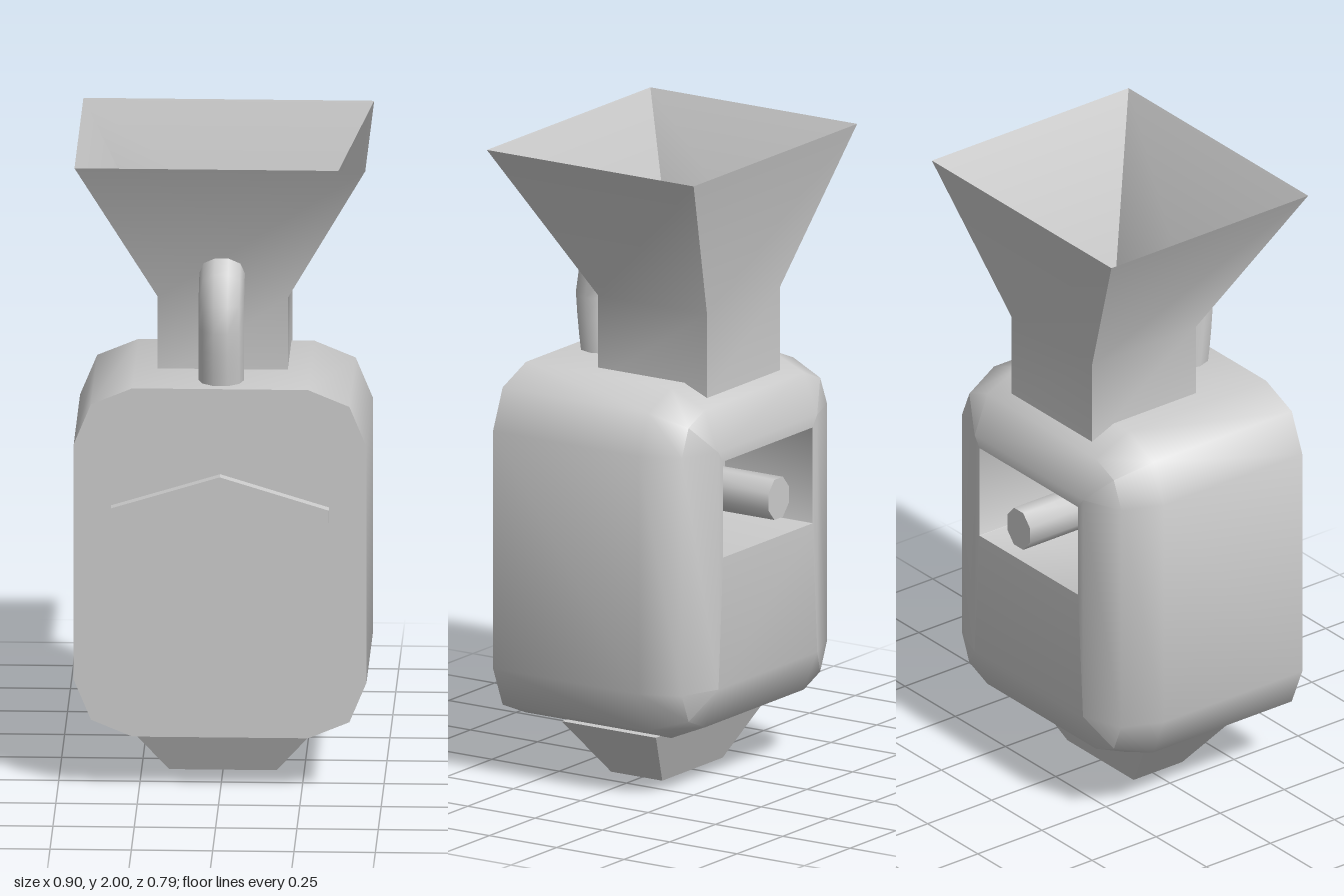
import * as THREE from 'three';
import { toCreasedNormals } from 'three/addons/utils/BufferGeometryUtils.js';

const grey = new THREE.MeshStandardMaterial({ color: 0xcccccc, side: THREE.DoubleSide });

// Skin a list of equal-length loops of [x, y, z]; optionally fan-cap both ends.
function loft(loops, capped, crease = 0.9) {
  const n = loops[0].length, pos = loops.flat(2), idx = [];
  for (let k = 0; k < loops.length - 1; k++) {
    for (let i = 0; i < n; i++) {
      const j = (i + 1) % n, a = k * n + i, b = k * n + j;
      idx.push(a, a + n, b, b, a + n, b + n);
    }
  }
  const cap = (k, flip) => {
    const c = pos.length / 3;
    pos.push(...[0, 1, 2].map(d => loops[k].reduce((s, p) => s + p[d], 0) / n));
    for (let i = 0; i < n; i++) {
      const a = k * n + i, b = k * n + (i + 1) % n;
      flip ? idx.push(c, b, a) : idx.push(c, a, b);
    }
  };
  if (capped) {
    cap(0, false);
    cap(loops.length - 1, true);
  }
  const g = new THREE.BufferGeometry();
  g.setAttribute('position', new THREE.Float32BufferAttribute(pos, 3));
  g.setIndex(idx);
  return toCreasedNormals(g, crease);
}

// Upright rounded rectangle, three points per corner, counter-clockwise from the front.
function upright(hw, y0, y1, r, z) {
  const corners = [[1, 1], [-1, 1], [-1, -1], [1, -1]], pts = [];
  corners.forEach(([sx, sy], c) => {
    for (let s = 0; s < 3; s++) {
      const t = (c + s / 2) * Math.PI / 2;
      const cy = sy > 0 ? y1 - r : y0 + r;
      pts.push([sx * (hw - r) + r * Math.cos(t), cy + r * Math.sin(t), z]);
    }
  });
  return pts;
}

// Level rectangle, ordered so that rising loops face outward.
const level = (y, hx, zBack, zFront) =>
  [[-hx, y, zBack], [hx, y, zBack], [hx, y, zFront], [-hx, y, zFront]];

export function createModel() {
  const model = new THREE.Group();
  const add = (name, geometry) => {
    const m = new THREE.Mesh(geometry, grey);
    m.name = name;
    model.add(m);
    return m;
  };

  // Housing: flat front, rounded back, window pocket in the upper back
  add('housing', loft([
    upright(0.45, 0.175, 1.29, 0.18, 0.36),
    upright(0.45, 0.175, 1.29, 0.18, -0.18),
    upright(0.397, 0.228, 1.237, 0.127, -0.305),
    upright(0.27, 0.355, 1.11, 0.001, -0.355),
    upright(0.245, 0.77, 1.075, 0.001, -0.355),
    upright(0.245, 0.77, 1.075, 0.001, -0.03),
  ], true));

  // Hopper: straight neck flaring into an open funnel
  add('hopper', loft([
    level(1.25, 0.2, -0.265, 0.14),
    level(1.52, 0.2, -0.265, 0.14),
    level(2.0, 0.447, -0.383, 0.385),
  ], false));

  // Spout on the base
  add('spout', loft([
    level(0, 0.165, -0.075, 0.115),
    level(0.18, 0.31, -0.15, 0.2),
  ], true, 0.4));

  // Curved pipe from the housing top into the funnel
  const path = new THREE.CatmullRomCurve3(
    [[1.27, 0.256], [1.38, 0.27], [1.49, 0.275], [1.56, 0.25], [1.615, 0.18]]
      .map(([y, z]) => new THREE.Vector3(0, y, z)));
  add('pipe', new THREE.TubeGeometry(path, 6, 0.07, 10, false));

  // Chevron awning on the front
  const chevron = new THREE.Shape([
    [-0.335, 0.875], [0, 0.978], [0.335, 0.875], [0.335, 0.915], [0, 1.018], [-0.335, 0.915],
  ].map(p => new THREE.Vector2(...p)));
  const awning = add('awning',
    new THREE.ExtrudeGeometry(chevron, { depth: 0.065, bevelEnabled: false }));
  awning.position.z = 0.33;

  // Eight-sided handle standing out of the back window
  const handle = add('handle', toCreasedNormals(
    new THREE.CylinderGeometry(0.069, 0.069, 0.365, 8).rotateY(Math.PI / 8), 0.9));
  handle.rotation.x = Math.PI / 2;
  handle.scale.x = 0.88;
  handle.position.set(0, 0.91, -0.2125);

  return model;
}
